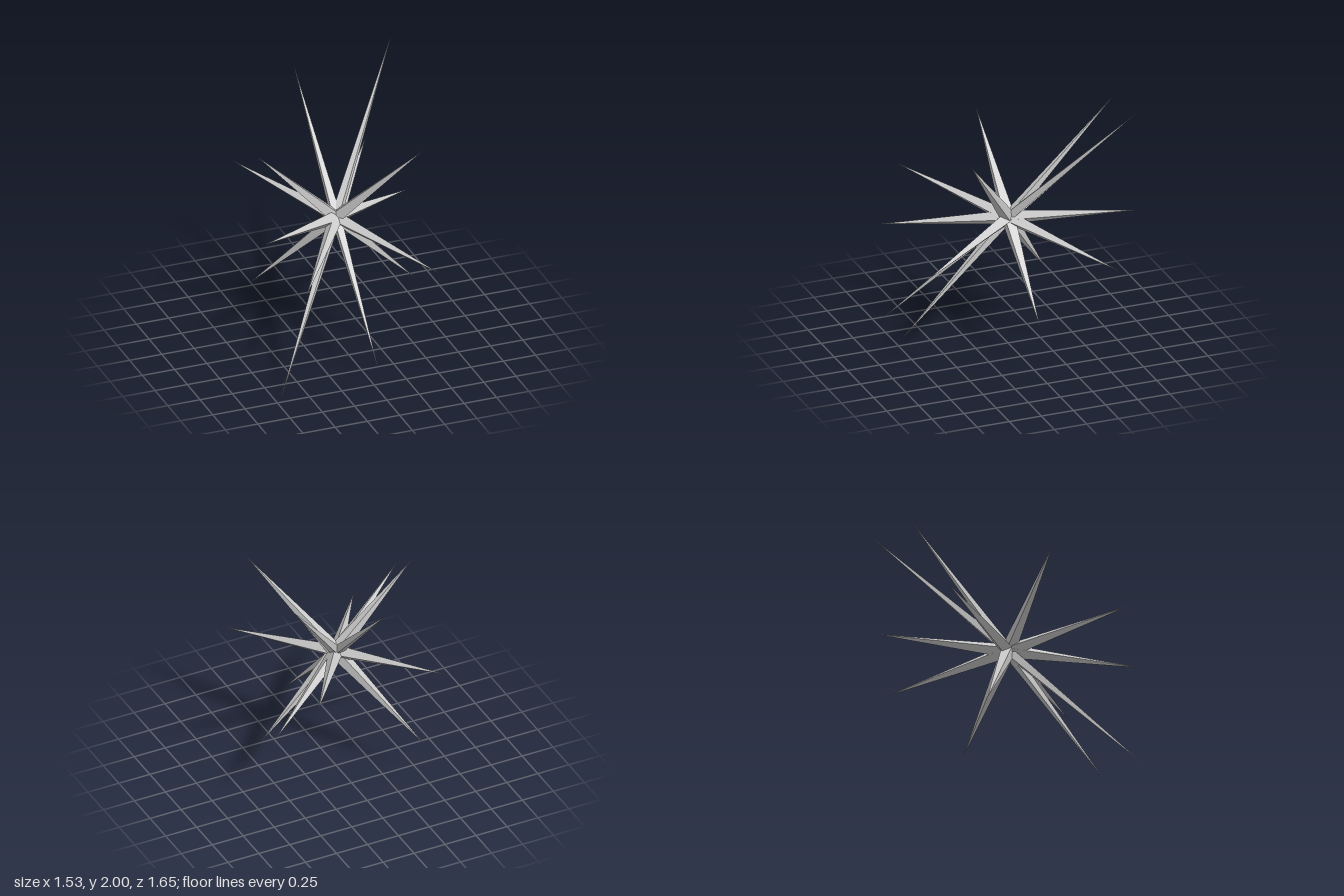
import * as THREE from 'three';

// Starburst: long four-sided double spikes crossing at one centre.
export function createModel() {
  const group = new THREE.Group();
  group.name = 'starburst';
  const material = new THREE.MeshStandardMaterial({ color: 0xcccccc, flatShading: true });

  // tip: one end relative to the centre; radius: corner radius at the waist;
  // ridged: true puts an edge on top, false a flat face
  function doubleSpike(name, tip, radius, ridged) {
    const dir = new THREE.Vector3(...tip);
    const length = dir.length();
    dir.normalize();
    const side = new THREE.Vector3(0, 1, 0).cross(dir).normalize();
    const over = new THREE.Vector3().crossVectors(side, dir);

    const geometry = new THREE.OctahedronGeometry(1, 0);
    if (!ridged) geometry.rotateY(Math.PI / 4);
    geometry.scale(radius, length, radius);
    geometry.applyMatrix4(new THREE.Matrix4().makeBasis(side, dir, over));
    geometry.computeVertexNormals();

    const mesh = new THREE.Mesh(geometry, material);
    mesh.name = name;
    mesh.position.y = 1;
    group.add(mesh);
  }

  // Steep spikes, flat face upward
  doubleSpike('longestSpike', [0.707, 1, -0.707], 0.042, false);
  doubleSpike('longSpike', [0, 0.825, -0.825], 0.042, false);
  doubleSpike('sideSpike', [-0.61, 0.61, 0], 0.056, false);
  doubleSpike('forwardSpike', [0.48, 0.68, 0.48], 0.056, false);

  // Shallow spikes, ridge upward
  doubleSpike('shallowSpikeRight', [-0.48, 0.15, -0.82], 0.055, true);
  doubleSpike('shallowSpikeLeft', [0.54, 0.15, -0.79], 0.055, true);
  doubleSpike('shallowSpikeFront', [-0.765, 0.195, 0.55], 0.055, true);

  return group;
}
